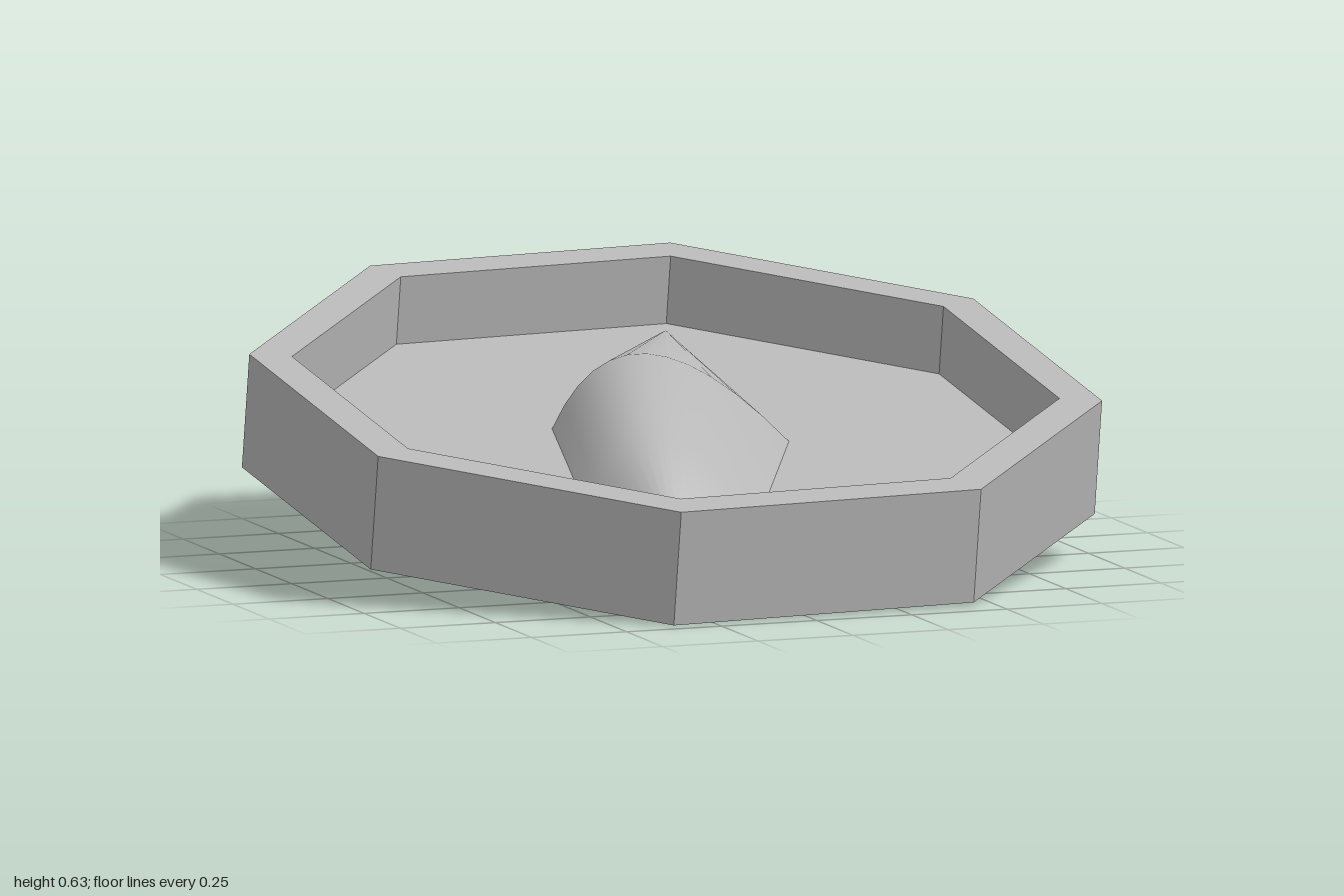
import * as THREE from 'three';

const FLOOR = 0.1185; // floor height inside the tray

// Octagonal tray with a raised rim, turned from one closed profile
function makeTray() {
  const profile = [[0, 0], [1.05, 0], [1.05, 0.2935], [0.945, 0.2935], [0.945, FLOOR], [0, FLOOR]];
  const geometry = new THREE.LatheGeometry(
    profile.map(([r, y]) => new THREE.Vector2(r, y)), 8, THREE.MathUtils.degToRad(25.2)
  ).toNonIndexed();
  geometry.computeVertexNormals(); // flat facets
  return geometry;
}

// Leaf-shaped mound: arched sections between two pointed ends
function makeMound() {
  const steps = 12;
  // left edge, crest and right edge of each section, as [x, height, z]
  const sections = [
    [[0.3, 0, -0.84], [0.3, 0, -0.84], [0.3, 0, -0.84]],
    [[-0.25, 0, -0.17], [0.01, 0.16, -0.23], [0.3, 0, 0.025]],
    [[-0.39, 0, 0.457], [-0.2, 0.17, 0.39], [0, 0, 0.604]],
    [[-0.25, 0, 0.695], [-0.25, 0, 0.695], [-0.25, 0, 0.695]],
  ];
  const positions = [];
  const index = [];
  for (const section of sections) {
    const [left, crest, right] = section.map((p) => new THREE.Vector3(...p));
    const control = crest.clone().multiplyScalar(2).addScaledVector(left, -0.5).addScaledVector(right, -0.5);
    const arch = new THREE.QuadraticBezierCurve3(left, control, right);
    for (let j = 0; j <= steps; j++) positions.push(...arch.getPoint(j / steps).toArray());
  }
  const row = steps + 1;
  for (let i = 0; i < sections.length - 1; i++) {
    for (let j = 0; j < steps; j++) {
      const a = i * row + j;
      const b = a + row;
      if (i < sections.length - 2) index.push(a, b, b + 1);
      else index.push(a, b, a + 1);
      if (i > 0 && i < sections.length - 2) index.push(a, b + 1, a + 1);
    }
  }
  const geometry = new THREE.BufferGeometry();
  geometry.setAttribute('position', new THREE.Float32BufferAttribute(positions, 3));
  geometry.setIndex(index);
  geometry.computeVertexNormals();
  return geometry;
}

export function createModel() {
  const grey = new THREE.MeshStandardMaterial({ color: 0xb8b8b8 });
  grey.name = 'grey';

  const tray = new THREE.Mesh(makeTray(), grey);
  tray.name = 'octagonalTray';

  const mound = new THREE.Mesh(makeMound(), grey);
  mound.name = 'leafMound';
  mound.position.y = FLOOR;

  // the whole piece leans toward the front
  const tilted = new THREE.Group();
  tilted.name = 'tiltedTray';
  tilted.add(tray, mound);
  tilted.rotation.x = THREE.MathUtils.degToRad(10);
  tilted.position.set(0, 0.172, -0.0255);

  const model = new THREE.Group();
  model.name = 'model';
  model.add(tilted);
  return model;
}
